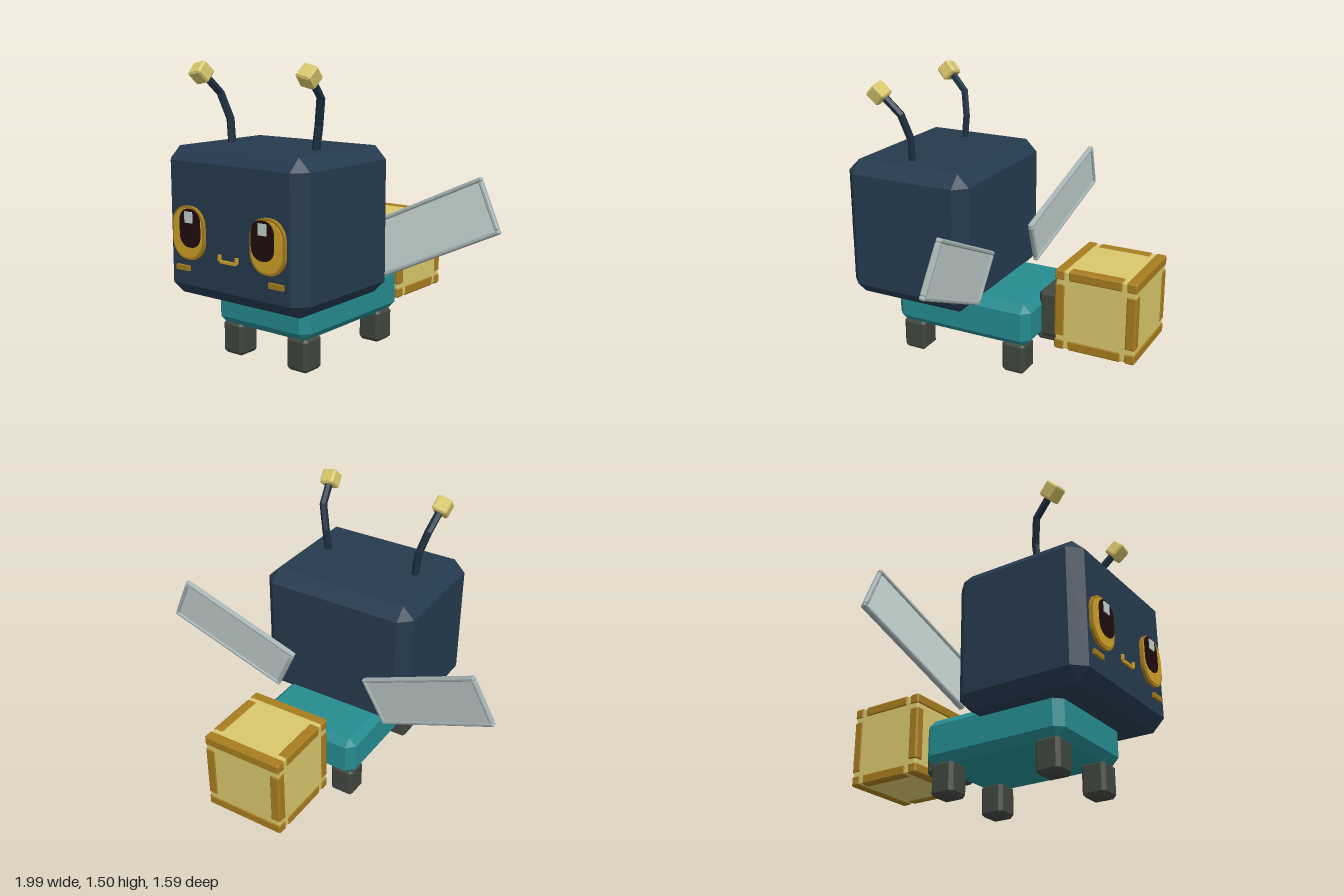
import * as THREE from 'three';
import { ConvexGeometry } from 'three/addons/geometries/ConvexGeometry.js';

const mat = (name, color) => {
  const m = new THREE.MeshStandardMaterial({ color });
  m.name = name;
  return m;
};

// Box with cut edges
function chamferBox(w, h, d, c) {
  const pts = [];
  for (const x of [-1, 1]) for (const y of [-1, 1]) for (const z of [-1, 1]) {
    const X = x * w / 2, Y = y * h / 2, Z = z * d / 2;
    pts.push(
      new THREE.Vector3(X, Y - y * c, Z - z * c),
      new THREE.Vector3(X - x * c, Y, Z - z * c),
      new THREE.Vector3(X - x * c, Y - y * c, Z));
  }
  return new ConvexGeometry(pts);
}

// Flat plate with rounded corners, its back at z = 0
function roundedPlate(w, h, r, depth) {
  const s = new THREE.Shape(), a = w / 2, b = h / 2;
  s.moveTo(-a + r, -b);
  s.lineTo(a - r, -b); s.absarc(a - r, -b + r, r, -Math.PI / 2, 0);
  s.lineTo(a, b - r); s.absarc(a - r, b - r, r, 0, Math.PI / 2);
  s.lineTo(-a + r, b); s.absarc(-a + r, b - r, r, Math.PI / 2, Math.PI);
  s.lineTo(-a, -b + r); s.absarc(-a + r, -b + r, r, Math.PI, Math.PI * 1.5);
  return new THREE.ExtrudeGeometry(s, { depth, bevelEnabled: false, curveSegments: 6 });
}

export function createModel() {
  const model = new THREE.Group();
  const navy = mat('navy shell', 0x253a4e);
  const dark = mat('dark antenna', 0x1d2f40);
  const teal = mat('teal body', 0x258b90);
  const grey = mat('charcoal', 0x40453f);
  const straw = mat('straw yellow', 0xd8c76c);
  const bronze = mat('bronze', 0xa67c1e);
  const gold = mat('gold', 0xd0a028);
  const pupilMat = mat('pupil', 0x200c0e);
  const glass = mat('pale wing', 0xc2d1cf);
  const silver = mat('silver frame', 0xa7b3b3);

  const add = (parent, name, geo, material, x = 0, y = 0, z = 0) => {
    const m = new THREE.Mesh(geo, material);
    m.name = name;
    m.position.set(x, y, z);
    parent.add(m);
    return m;
  };
  const group = (name, parent = model) => {
    const g = new THREE.Group();
    g.name = name;
    parent.add(g);
    return g;
  };

  add(model, 'head', chamferBox(0.89, 0.745, 0.72, 0.065), navy, 0, 0.7175, 0.405);
  add(model, 'body', chamferBox(0.6, 0.238, 0.8, 0.042), teal, 0, 0.283, 0.16);
  add(model, 'tailConnector', chamferBox(0.265, 0.265, 0.14, 0.022), grey, 0, 0.3075, -0.29);

  // Crate: core plus twelve beams
  const crate = group('crate');
  crate.position.set(0, 0.395, -0.572);
  add(crate, 'crateCore', chamferBox(0.43, 0.43, 0.43, 0.006), straw);
  const e = 0.192, t = 0.056;
  for (const a of [-e, e]) for (const b of [-e, e]) {
    add(crate, 'crossBeam', chamferBox(0.44, t, t, 0.008), bronze, 0, a, b);
    add(crate, 'sideBeam', chamferBox(t, t, 0.29, 0.008), bronze, a, b, 0);
    add(crate, 'uprightBeam', chamferBox(t, 0.29, t, 0.008), bronze, a, 0, b);
  }

  for (const s of [-1, 1]) {
    const side = s > 0 ? 'left' : 'right';

    // Legs
    add(model, side + 'FrontLeg', chamferBox(0.133, 0.175, 0.133, 0.018), grey, s * 0.213, 0.0875, 0.467);
    add(model, side + 'BackLeg', chamferBox(0.133, 0.175, 0.133, 0.018), grey, s * 0.213, 0.0875, -0.141);

    // Antenna with a faceted stalk and a tilted cube tip
    const antenna = group(side + 'Antenna');
    const path = new THREE.CatmullRomCurve3([
      [0.27, 1.07, 0.443], [0.287, 1.215, 0.438], [0.325, 1.35, 0.475], [0.34, 1.435, 0.565],
    ].map(([x, y, z]) => new THREE.Vector3(s * x, y, z)));
    const stalk = new THREE.TubeGeometry(path, 3, 0.021, 6).toNonIndexed();
    stalk.computeVertexNormals();
    add(antenna, 'stalk', stalk, dark);
    const tip = add(antenna, 'tip', chamferBox(0.084, 0.084, 0.084, 0.009), straw, s * 0.343, 1.442, 0.58);
    tip.rotation.set(Math.PI / 4, 0, -s * 0.2, 'ZXY');

    // Wing: pale panel in a silver frame
    const wing = group(side + 'Wing');
    const u = new THREE.Vector3(s * 0.655, 0.31, -0.085).normalize();
    const v = new THREE.Vector3(-s * 0.125, 0.26, -0.025);
    v.addScaledVector(u, -v.dot(u)).normalize();
    wing.quaternion.setFromRotationMatrix(
      new THREE.Matrix4().makeBasis(u, v, new THREE.Vector3().crossVectors(u, v)));
    wing.position.set(s * 0.605, 0.67, -0.026);
    add(wing, 'panel', new THREE.BoxGeometry(0.71, 0.27, 0.012), glass);
    for (const k of [-1, 1]) {
      add(wing, 'longEdge', chamferBox(0.73, 0.022, 0.03, 0.006), silver, 0, k * 0.134, 0);
      add(wing, 'shortEdge', chamferBox(0.022, 0.25, 0.03, 0.006), silver, k * 0.354, 0, 0);
    }

    // Eye: stacked thin plates
    const eye = group(side + 'Eye');
    add(eye, 'rim', roundedPlate(0.212, 0.266, 0.095, 0.016), bronze, s * 0.255, 0.677, 0.765);
    add(eye, 'iris', roundedPlate(0.188, 0.242, 0.085, 0.005), gold, s * 0.255, 0.677, 0.781);
    add(eye, 'pupil', roundedPlate(0.138, 0.19, 0.06, 0.004), pupilMat, s * 0.234, 0.704, 0.786);
    add(eye, 'glint', new THREE.BoxGeometry(0.05, 0.055, 0.006), glass, s * 0.238, 0.758, 0.793);

    add(model, side + 'Cheek', new THREE.BoxGeometry(0.086, 0.026, 0.016), bronze, s * 0.302, 0.497, 0.771);
    add(model, side + 'MouthCorner', new THREE.BoxGeometry(0.014, 0.03, 0.014), gold, s * 0.055, 0.58, 0.77);
  }
  add(model, 'mouth', new THREE.BoxGeometry(0.1, 0.014, 0.014), gold, 0, 0.563, 0.77);

  return model;
}
